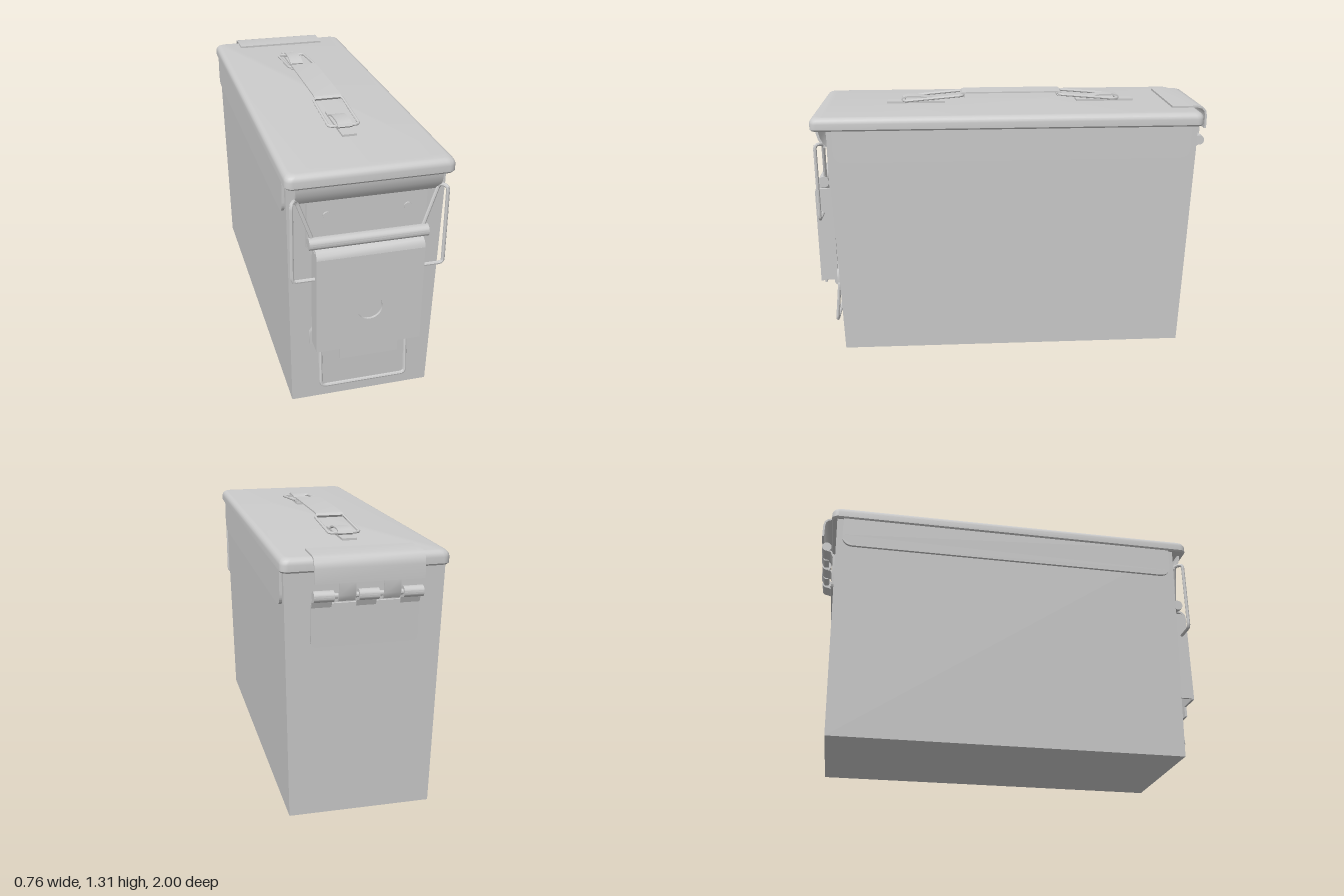
import * as THREE from 'three';
import { toCreasedNormals } from 'three/addons/utils/BufferGeometryUtils.js';

const mat = new THREE.MeshStandardMaterial({ color: 0xcccccc, side: THREE.DoubleSide });
const V = (x, y, z) => new THREE.Vector3(x, y, z);

function add(group, name, geo, x = 0, y = 0, z = 0) {
  const mesh = new THREE.Mesh(toCreasedNormals(geo, 0.6), mat);
  mesh.name = name;
  mesh.position.set(x, y, z);
  group.add(mesh);
  return mesh;
}

const box = (w, h, d) => new THREE.BoxGeometry(w, h, d);
const rod = (r, length) => new THREE.CylinderGeometry(r, r, length, 20).rotateZ(Math.PI / 2);

// Solid between stacked outlines, each an array of Vector3 of equal length, bottom to top
function loft(rings) {
  const n = rings[0].length, pos = [], idx = [];
  rings.forEach(r => r.forEach(p => pos.push(p.x, p.y, p.z)));
  for (let k = 0; k < rings.length - 1; k++) {
    for (let i = 0; i < n; i++) {
      const a = k * n + i, b = k * n + (i + 1) % n;
      idx.push(a, a + n, b, b, a + n, b + n);
    }
  }
  const top = (rings.length - 1) * n;
  for (let i = 1; i < n - 1; i++) idx.push(0, i, i + 1, top, top + i + 1, top + i);
  const g = new THREE.BufferGeometry();
  g.setAttribute('position', new THREE.Float32BufferAttribute(pos, 3));
  g.setIndex(idx);
  return g;
}

// Rounded rectangle outline at height y
function outline(hx, z0, z1, y, r, steps = 5) {
  const pts = [];
  [[hx, z1], [-hx, z1], [-hx, z0], [hx, z0]].forEach(([x, z], q) => {
    const cx = x - Math.sign(x) * r, cz = z + (q < 2 ? -r : r);
    for (let i = 0; i <= steps; i++) {
      const a = (q + i / steps) * Math.PI / 2;
      pts.push(V(cx + r * Math.cos(a), y, cz + r * Math.sin(a)));
    }
  });
  return pts;
}

// Bent sheet: a path of [z, y] points given thickness and extruded across x
function sheet(path, thick, width) {
  const p = path.map(q => new THREE.Vector2(...q)), left = [], right = [];
  p.forEach((c, i) => {
    const d = p[Math.min(i + 1, p.length - 1)].clone().sub(p[Math.max(i - 1, 0)]).normalize();
    const o = new THREE.Vector2(-d.y, d.x).multiplyScalar(thick / 2);
    left.push(c.clone().add(o));
    right.unshift(c.clone().sub(o));
  });
  return new THREE.ExtrudeGeometry(new THREE.Shape([...left, ...right]), { depth: width, bevelEnabled: false })
    .rotateY(-Math.PI / 2).translate(width / 2, 0, 0);
}

// Closed wire loop with rounded corners
function wire(pts, r, bend = 0.025) {
  const path = new THREE.CurvePath(), n = pts.length;
  const toward = (a, b) => a.clone().add(b.clone().sub(a).setLength(bend));
  for (let i = 0; i < n; i++) {
    const prev = pts[(i + n - 1) % n], c = pts[i], next = pts[(i + 1) % n];
    path.add(new THREE.QuadraticBezierCurve3(toward(c, prev), c, toward(c, next)));
    path.add(new THREE.LineCurve3(toward(c, next), toward(next, c)));
  }
  return new THREE.TubeGeometry(path, 200, r, 8, true);
}

// Flat plate with rounded lower corners, x across and y up
function plateShape(hw, y0, y1, r) {
  const s = new THREE.Shape();
  s.moveTo(-hw, y1);
  s.lineTo(-hw, y0 + r);
  s.quadraticCurveTo(-hw, y0, -hw + r, y0);
  s.lineTo(hw - r, y0);
  s.quadraticCurveTo(hw, y0, hw, y0 + r);
  s.lineTo(hw, y1);
  return s;
}
const slab = (shape, depth) => new THREE.ExtrudeGeometry(shape, { depth, bevelEnabled: false, curveSegments: 20 });

function createBody() {
  const g = new THREE.Group();
  g.name = 'body';
  const rect = (hx, z0, z1, y) => [V(hx, y, z1), V(-hx, y, z1), V(-hx, y, z0), V(hx, y, z0)].reverse();
  add(g, 'taperedBox', loft([rect(0.34, -0.89, 0.88, 0).reverse(), rect(0.364, -0.925, 0.907, 1.2).reverse()]));
  for (const s of [-1, 1]) {
    const skirt = slab(plateShape(0.885, 1.02, 1.19, 0.06), 0.02).rotateY(Math.PI / 2);
    add(g, 'sideSkirt', skirt, s * 0.364 - 0.01, 0, -0.006);
  }
  return g;
}

function createLid() {
  const g = new THREE.Group();
  g.name = 'lid';
  const ring = (inset, y) => outline(0.38 - inset, -0.953 + inset, 0.985 - inset, y, 0.035);
  const rings = [ring(0.006, 1.18), ring(0, 1.188)];
  for (let i = 0; i <= 5; i++) {
    const a = i / 5 * Math.PI / 2;
    rings.push(ring(0.03 * (1 - Math.cos(a)), 1.215 + 0.031 * Math.sin(a)));
  }
  add(g, 'lidShell', loft(rings));
  // Lip curving down over the front of the body
  add(g, 'frontLip', sheet([[0.955, 1.185], [0.953, 1.16], [0.946, 1.135], [0.934, 1.11], [0.918, 1.09]], 0.012, 0.66));
  return g;
}

function createHandle() {
  const g = new THREE.Group();
  g.name = 'handle';
  add(g, 'strap', sheet([[-0.24, 1.283], [-0.255, 1.285], [-0.262, 1.293], [-0.255, 1.301], [-0.23, 1.303],
    [0.23, 1.303], [0.255, 1.301], [0.262, 1.293], [0.255, 1.285], [0.24, 1.283]], 0.007, 0.135));
  for (const s of [-1, 1]) {
    add(g, 'handlePad', box(0.07, 0.012, 0.3), 0, 1.25, s * 0.495);
    add(g, 'padLoop', sheet([[0.4, 1.258], [0.43, 1.27], [0.47, 1.278], [0.54, 1.279], [0.562, 1.273],
      [0.568, 1.264], [0.56, 1.255]].map(([z, y]) => [s * z, y]), 0.008, 0.07));
    add(g, 'handleWire', wire([V(-0.074, 1.29, s * 0.25), V(0.074, 1.29, s * 0.25),
      V(0.074, 1.264, s * 0.555), V(-0.074, 1.264, s * 0.555)], 0.007));
  }
  g.position.z = -0.014;
  return g;
}

function createHinge() {
  const g = new THREE.Group();
  g.name = 'hinge';
  add(g, 'topLeaf', sheet([[-0.82, 1.252], [-0.95, 1.252], [-0.975, 1.246], [-0.99, 1.23],
    [-0.995, 1.205], [-0.995, 1.14]], 0.01, 0.49));
  // Tongues and knuckles alternate along the pin
  for (const x of [-0.1, 0.1]) {
    add(g, 'tongue', sheet([[-0.995, 1.145], [-0.994, 1.085], [-0.98, 1.06], [-0.96, 1.06]], 0.008, 0.075), x);
  }
  for (const x of [-0.2, 0, 0.2]) {
    add(g, 'knuckle', rod(0.025, 0.09), x, 1.078, -0.97);
    add(g, 'knuckleTab', sheet([[-0.965, 1.056], [-0.945, 1.05], [-0.932, 1.02]], 0.008, 0.09), x);
  }
  add(g, 'hingePin', rod(0.012, 0.48), 0, 1.078, -0.97);
  const leaf = add(g, 'lowerLeaf', slab(plateShape(0.245, -0.1, 0.1, 0.03), 0.012), 0, 0.935, -0.932);
  leaf.rotation.x = -0.03;
  return g;
}

function createLatch() {
  const g = new THREE.Group();
  g.name = 'latch';
  // Mounting plate, backing plate and rivets
  add(g, 'mountingPlate', box(0.55, 0.24, 0.02), 0, 0.98, 0.91);
  for (const s of [-1, 1]) add(g, 'rivet', rod(0.018, 0.012).rotateY(Math.PI / 2), s * 0.185, 1.015, 0.922);
  const back = new THREE.Shape([[-0.26, 0.34], [0.26, 0.34], [0.26, 0.4], [0.24, 0.43], [0.24, 0.81],
    [0.262, 0.84], [0.262, 0.88], [-0.262, 0.88], [-0.262, 0.84], [-0.24, 0.81], [-0.24, 0.43],
    [-0.26, 0.4]].map(p => new THREE.Vector2(...p)));
  add(g, 'backingPlate', slab(back, 0.022), 0, 0, 0.892);
  add(g, 'hingeRoll', rod(0.028, 0.55), 0, 0.897, 0.948);
  // Lever with a round hole, a pull tab and side flanges
  const face = new THREE.Shape([[-0.25, 0.35], [-0.14, 0.35], [-0.14, 0.295], [0.14, 0.295], [0.14, 0.35],
    [0.25, 0.35], [0.25, 0.835], [-0.25, 0.835]].map(p => new THREE.Vector2(...p)));
  face.holes.push(new THREE.Path().absarc(0, 0.555, 0.06, 0, Math.PI * 2, true));
  add(g, 'lever', slab(face, 0.012), 0, 0, 0.986);
  add(g, 'leverTop', sheet([[0.992, 0.834], [0.989, 0.85], [0.978, 0.863], [0.955, 0.87]], 0.012, 0.5));
  for (const s of [-1, 1]) {
    add(g, 'leverFlange', box(0.012, 0.5, 0.082), s * 0.244, 0.605, 0.951);
    add(g, 'wireClip', rod(0.024, 0.055), s * 0.168, 0.324, 0.914);
    add(g, 'clipTab', box(0.055, 0.05, 0.014), s * 0.168, 0.345, 0.903);
  }
  // Large locking wire and small hanging wire
  add(g, 'lockingWire', wire([V(-0.352, 1.11, 0.965), V(-0.352, 0.725, 0.965), V(0.352, 0.725, 0.965),
    V(0.352, 1.11, 0.965), V(0.325, 1.11, 0.928), V(0.305, 0.915, 0.928), V(-0.305, 0.915, 0.928),
    V(-0.325, 1.11, 0.928)].map(p => (p.y === 0.915 ? V(Math.sign(p.x) * 0.25, 0.9, 0.94) : p)), 0.009, 0.018));
  add(g, 'hangingWire', wire([V(-0.21, 0.324, 0.91), V(0.21, 0.324, 0.91),
    V(0.21, 0.102, 0.934), V(-0.21, 0.102, 0.934)], 0.009));
  return g;
}

export function createModel() {
  const model = new THREE.Group();
  model.name = 'metalStorageCan';
  model.add(createBody(), createLid(), createHandle(), createHinge(), createLatch());
  return model;
}
